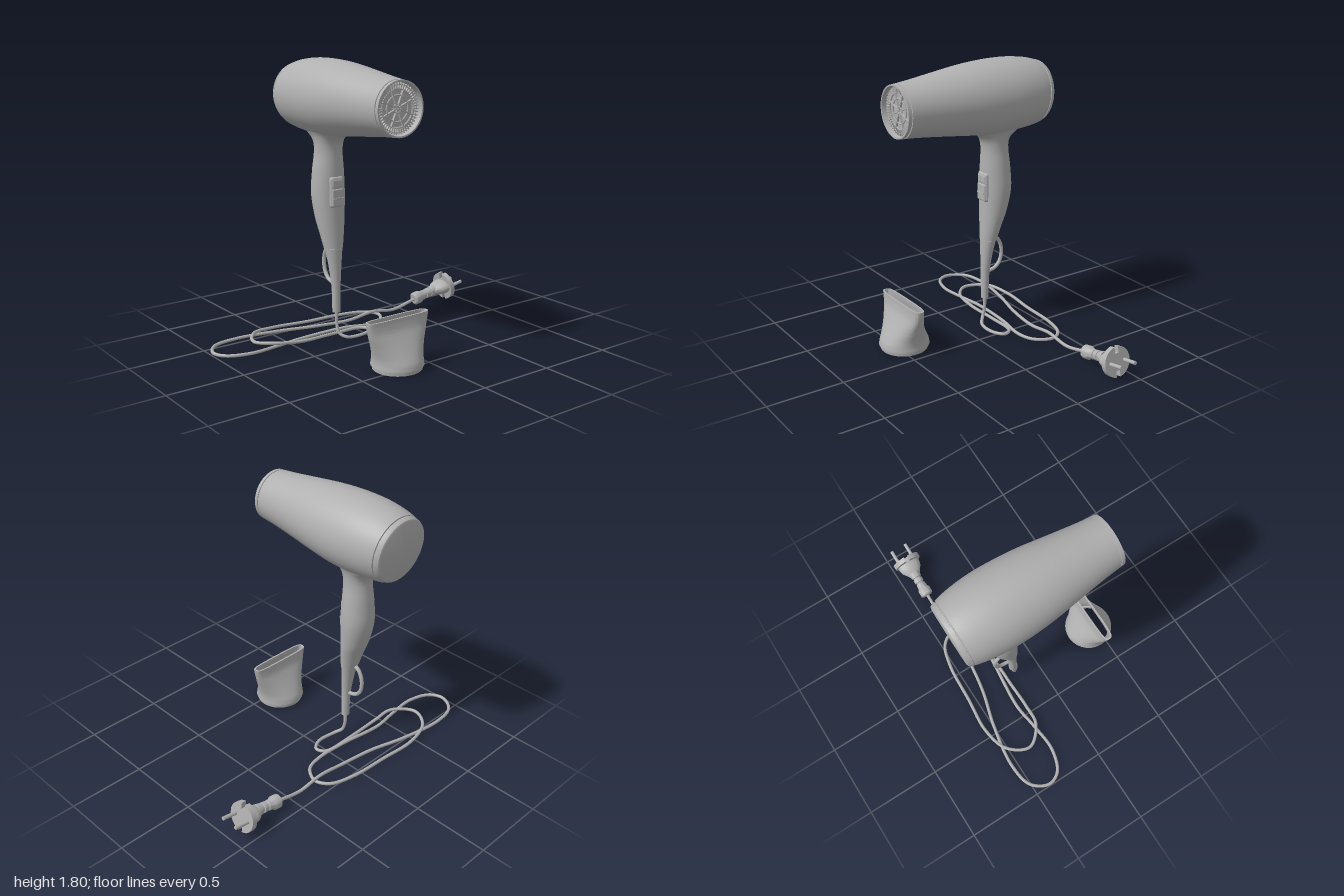
import * as THREE from 'three';
import { toCreasedNormals } from 'three/addons/utils/BufferGeometryUtils.js';
import { RoundedBoxGeometry } from 'three/addons/geometries/RoundedBoxGeometry.js';

const X = -0.205; // dryer and nozzle share this centre plane
const V = (x, y, z) => new THREE.Vector3(x, y, z);

// Smoothly subdivide a table of section rows (Catmull-Rom on every column)
function smooth(rows, steps = 6) {
  const out = [];
  const at = i => rows[Math.min(rows.length - 1, Math.max(0, i))];
  for (let i = 0; i < rows.length - 1; i++) {
    for (let s = 0; s < steps; s++) {
      const t = s / steps;
      out.push(rows[i].map((b, k) => {
        const a = at(i - 1)[k], c = at(i + 1)[k], d = at(i + 2)[k];
        return b + 0.5 * t * (c - a + t * (2 * a - 5 * b + 4 * c - d + t * (3 * (b - c) + d - a)));
      }));
    }
  }
  out.push(rows[rows.length - 1]);
  return out;
}

// Skin a list of rows; point(row, angle) gives one vertex of a section
function loft(rows, point, sides = 56) {
  const pos = [], idx = [];
  rows.forEach((row, i) => {
    for (let j = 0; j < sides; j++) {
      pos.push(...point(row, j / sides * Math.PI * 2));
      if (i === rows.length - 1) continue;
      const a = i * sides + j, b = i * sides + (j + 1) % sides;
      idx.push(a, b, b + sides, a, b + sides, a + sides);
    }
  });
  const g = new THREE.BufferGeometry();
  g.setAttribute('position', new THREE.Float32BufferAttribute(pos, 3));
  g.setIndex(idx);
  return toCreasedNormals(g, 0.6);
}

export function createModel() {
  const model = new THREE.Group();
  const grey = new THREE.MeshStandardMaterial({ color: 0xb0b0b0 });
  const add = (name, geo, parent = model, x = 0, y = 0, z = 0) => {
    const m = new THREE.Mesh(geo, grey);
    m.name = name;
    m.position.set(x, y, z);
    parent.add(m);
    return m;
  };

  // Barrel: rows of z, half width, top, bottom; the back face leans
  const barrelPoint = ([z, rx, top, bot], a) => {
    const y = (top + bot) / 2 + (top - bot) / 2 * Math.sin(a);
    const lean = THREE.MathUtils.clamp((-0.2 - z) / 0.3, 0, 1) * 0.0875;
    return [X + rx * Math.cos(a), y, z - (y - 1.5525) * lean];
  };
  const round = (z, r) => [z, r, 1.557 + r, 1.557 - r];
  add('barrel', loft([
    [-0.594, 0.001, 1.553, 1.552], [-0.592, 0.185, 1.737, 1.368], [-0.586, 0.197, 1.749, 1.356],
    [-0.575, 0.203, 1.755, 1.35], [-0.557, 0.209, 1.76, 1.344],
    [-0.556, 0.202, 1.753, 1.351], [-0.551, 0.202, 1.753, 1.351], // cap seam
    ...smooth([
      [-0.55, 0.211, 1.762, 1.342], [-0.48, 0.227, 1.78, 1.333], [-0.38, 0.239, 1.795, 1.326],
      [-0.28, 0.244, 1.8, 1.322], [-0.15, 0.24, 1.797, 1.324], [0, 0.227, 1.784, 1.342],
      [0.2, 0.198, 1.757, 1.366], [0.35, 0.178, 1.736, 1.382], [0.446, 0.168, 1.725, 1.389]]),
    round(0.447, 0.161), round(0.452, 0.161), // front ring seam
    round(0.453, 0.167), round(0.475, 0.166), round(0.475, 0.156),
    round(0.415, 0.147), round(0.415, 0.001)], barrelPoint, 72));

  // Air outlet grille
  const grille = new THREE.Group();
  grille.name = 'grille';
  grille.position.set(X, 1.557, 0.44);
  model.add(grille);
  for (const r of [0.138, 0.112, 0.077, 0.027])
    add('grilleRing', new THREE.TorusGeometry(r, 0.005, 6, 48), grille);
  const fins = (count, r0, r1, width) => {
    for (let i = 0; i < count; i++) {
      const g = new THREE.BoxGeometry(r1 - r0, width, 0.014);
      g.translate((r0 + r1) / 2, 0, 0);
      add('grilleFin', g, grille).rotation.z = (i + 0.5) / count * Math.PI * 2;
    }
  };
  fins(8, 0.005, 0.112, 0.008);
  fins(48, 0.112, 0.15, 0.006);

  // Handle and cord guard: rows of y, half width, front z, back z
  const gripPoint = ([y, hx, zf, zb], a) =>
    [X + hx * Math.sin(a), y, (zf + zb) / 2 + (zf - zb) / 2 * Math.cos(a)];
  const grip = rows => {
    const cap = r => [r[0], 0.001, (r[2] + r[3]) / 2 + 0.001, (r[2] + r[3]) / 2 - 0.001];
    return loft([cap(rows[0]), ...smooth(rows), cap(rows[rows.length - 1])], gripPoint);
  };
  add('handle', grip([
    [0.602, 0.064, -0.159, -0.269], [0.7, 0.082, -0.162, -0.3], [0.8, 0.098, -0.165, -0.338],
    [0.95, 0.11, -0.167, -0.37], [1.1, 0.102, -0.168, -0.363], [1.2, 0.091, -0.17, -0.352],
    [1.26, 0.091, -0.165, -0.352], [1.3, 0.096, -0.146, -0.374], [1.33, 0.105, -0.11, -0.42],
    [1.36, 0.122, -0.06, -0.46], [1.4, 0.15, -0.04, -0.48]]));
  add('cordGuard', grip([
    [0.18, 0.027, -0.16, -0.212], [0.35, 0.03, -0.16, -0.217],
    [0.5, 0.045, -0.16, -0.239], [0.6, 0.06, -0.161, -0.265]]));

  // Hanging loop behind the cord guard
  add('hangingLoop', new THREE.TubeGeometry(new THREE.CatmullRomCurve3([
    V(X, 0.605, -0.24), V(X, 0.585, -0.285), V(X, 0.54, -0.313), V(X, 0.48, -0.322),
    V(X, 0.42, -0.308), V(X, 0.38, -0.27), V(X, 0.362, -0.2)]), 40, 0.013, 10));

  // Switch
  add('switchPlate', new RoundedBoxGeometry(0.1, 0.2, 0.045, 3, 0.02), model, X, 0.97, -0.181);
  add('switchUpper', new RoundedBoxGeometry(0.08, 0.055, 0.03, 2, 0.01), model, X, 1.025, -0.17);
  add('switchSlider', new RoundedBoxGeometry(0.084, 0.115, 0.03, 2, 0.01), model, X, 0.935, -0.168);
  add('switchRib', new THREE.BoxGeometry(0.07, 0.008, 0.012), model, X, 0.932, -0.153);

  // Cord, coiled on the ground
  add('cord', new THREE.TubeGeometry(new THREE.CatmullRomCurve3([
    V(X, 0.2, -0.186), V(X, 0.1, -0.184), V(-0.2, 0.04, -0.165), V(-0.16, 0.013, -0.132),
    V(-0.02, 0.012, -0.122), V(0.05, 0.012, -0.17), V(0.02, 0.012, -0.228), V(-0.2, 0.012, -0.24),
    V(-0.45, 0.016, -0.235), V(-0.6, 0.034, -0.25), V(-0.71, 0.03, -0.37), V(-0.63, 0.034, -0.51),
    V(-0.45, 0.02, -0.562), V(-0.2, 0.012, -0.545), V(0.08, 0.012, -0.525), V(0.23, 0.012, -0.475),
    V(0.28, 0.012, -0.39), V(0.22, 0.012, -0.28), V(0.1, 0.012, -0.245), V(-0.1, 0.025, -0.262),
    V(-0.42, 0.012, -0.288), V(-0.6, 0.012, -0.265), V(-0.8, 0.012, -0.25), V(-0.95, 0.012, -0.305),
    V(-0.989, 0.012, -0.395), V(-0.92, 0.012, -0.505), V(-0.75, 0.012, -0.54), V(-0.45, 0.012, -0.497),
    V(-0.2, 0.012, -0.43), V(0.04, 0.012, -0.396), V(0.24, 0.034, -0.392), V(0.42, 0.014, -0.392),
    V(0.61, 0.053, -0.392)]), 420, 0.011, 8));

  // Mains plug, lying tilted on its flange
  const plug = new THREE.Group();
  plug.name = 'plug';
  plug.position.set(0.885, 0.105, -0.392);
  plug.rotation.z = 0.18;
  model.add(plug);
  const turned = pts => toCreasedNormals(new THREE.LatheGeometry(
    pts.map(([x, r]) => new THREE.Vector2(r, x)), 32).rotateZ(-Math.PI / 2), 0.6);
  add('plugSleeve', turned([
    [-0.288, 0.001], [-0.288, 0.034], [-0.28, 0.044], [-0.24, 0.045], [-0.225, 0.036],
    [-0.19, 0.032], [-0.188, 0.025], [-0.18, 0.025], [-0.178, 0.033], [-0.15, 0.034],
    [-0.148, 0.027], [-0.14, 0.027], [-0.138, 0.035], [-0.1, 0.04], [-0.1, 0.001]]), plug);
  add('plugBody', turned([
    [-0.125, 0.001], [-0.125, 0.034], [-0.1, 0.05], [-0.07, 0.072], [-0.045, 0.08],
    [-0.01, 0.081], [-0.01, 0.001]]), plug).scale.y = 0.6;

  // Flange with earth notches at top and bottom
  const R = 0.098, w = 0.014, n = Math.asin(w / R), q = Math.PI / 2;
  const disc = new THREE.Shape();
  disc.absarc(0, 0, R, -q + n, q - n);
  disc.lineTo(w, 0.055);
  disc.lineTo(-w, 0.055);
  disc.absarc(0, 0, R, q + n, 3 * q - n);
  disc.lineTo(-w, -0.055);
  disc.lineTo(w, -0.055);
  disc.closePath();
  const flange = new THREE.ExtrudeGeometry(disc, { depth: 0.034, bevelEnabled: false, curveSegments: 24 });
  add('plugFlange', toCreasedNormals(flange.translate(0, 0, -0.017).rotateY(q), 0.6), plug);
  for (const s of [-1, 1])
    add('plugPin', new THREE.CylinderGeometry(0.012, 0.012, 0.107, 16).rotateZ(q), plug, 0.0625, 0, s * 0.055);

  // Concentrator nozzle, hollow: rows of y, half width, half depth, squareness
  const outer = smooth([
    [0.028, 0.163, 0.163, 2], [0.06, 0.161, 0.155, 2], [0.1, 0.166, 0.133, 2.1], [0.16, 0.183, 0.097, 2.4],
    [0.21, 0.2, 0.069, 2.8], [0.25, 0.212, 0.05, 3.2], [0.29, 0.221, 0.041, 3.6], [0.32, 0.225, 0.038, 4]]);
  const base = [[0, 0.153, 0.153, 2], [0.022, 0.155, 0.155, 2], [0.024, 0.163, 0.163, 2]];
  const shell = [...base, ...outer];
  const inner = shell.map(([y, a, b, e]) => [y, a - 0.011, b - 0.011, e]).reverse();
  const power = (v, e) => Math.sign(v) * Math.abs(v) ** (2 / e);
  add('nozzle', loft([...shell, ...inner, shell[0]], ([y, hx, hz, e], a) =>
    [X + hx * power(Math.sin(a), e), y, 0.45 + hz * power(Math.cos(a), e)], 72));

  return model;
}
